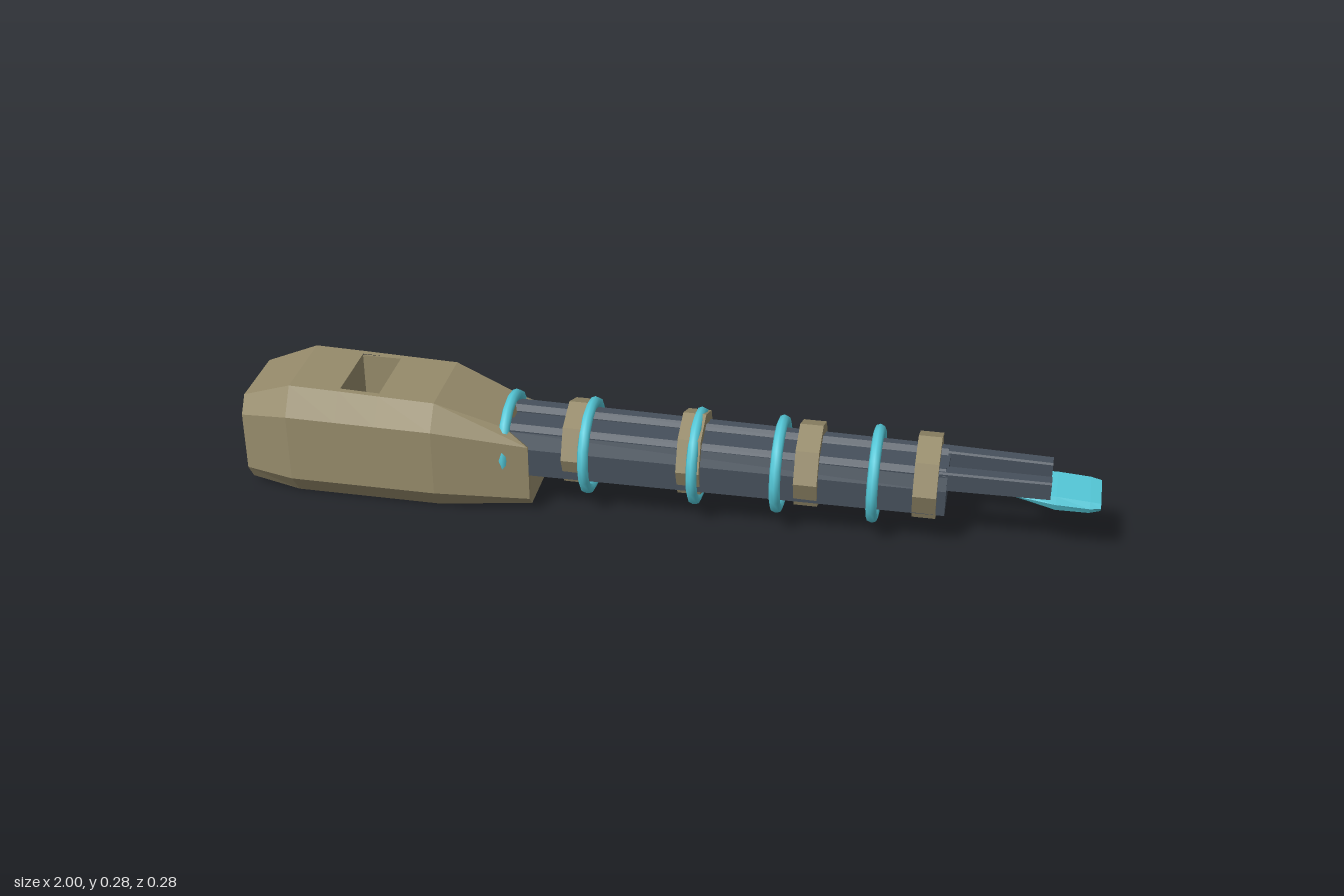
import * as THREE from 'three';

const mat = (name, color) => {
  const m = new THREE.MeshStandardMaterial({ color });
  m.name = name;
  return m;
};

// Joins rings of [x, y, z] points along x, with caps; skip(s, i) leaves a face open.
function loft(rings, skip = () => false) {
  const pos = [];
  const tri = (a, b, c) => pos.push(...a, ...b, ...c);
  const n = rings[0].length;
  for (let s = 0; s < rings.length - 1; s++) {
    for (let i = 0; i < n; i++) {
      if (skip(s, i)) continue;
      const j = (i + 1) % n, p = rings[s], q = rings[s + 1];
      tri(p[i], p[j], q[j]);
      tri(p[i], q[j], q[i]);
    }
  }
  const cap = (r, flip) => {
    const c = [0, 1, 2].map(k => r.reduce((sum, p) => sum + p[k], 0) / n);
    r.forEach((p, i) => {
      const q = r[(i + 1) % n];
      flip ? tri(c, q, p) : tri(c, p, q);
    });
  };
  cap(rings[0], true);
  cap(rings[rings.length - 1], false);
  const g = new THREE.BufferGeometry();
  g.setAttribute('position', new THREE.Float32BufferAttribute(pos, 3));
  g.computeVertexNormals();
  return g;
}

// Mirrors half a section, listed from top to bottom as [x, y, z].
const mirrorRing = half => [...half, ...half.slice().reverse().map(([x, y, z]) => [x, y, -z])];

export function createModel() {
  const model = new THREE.Group();
  const tan = mat('tan casing', 0x968b6b);
  const slate = mat('slate metal', 0x46505b);
  const cyan = mat('cyan glow', 0x55c9d9);
  const black = mat('black recess', 0x0c0c0c);

  const add = (name, geometry, material, x = 0, y = 0, z = 0) => {
    const mesh = new THREE.Mesh(geometry, material);
    mesh.name = name;
    mesh.position.set(x, y, z);
    model.add(mesh);
    return mesh;
  };
  const box = (name, material, x0, x1, y0, y1, z0, z1) => add(name,
    new THREE.BoxGeometry(x1 - x0, y1 - y0, z1 - z0), material,
    (x0 + x1) / 2, (y0 + y1) / 2, (z0 + z1) / 2);

  // Handle: chamfered casing with a slanted upper front and a slot on top
  const handleRing = (x, top, upper, lower, bottom, w, flat, topX = x) => mirrorRing([
    [topX, top, flat * 0.86], [topX, top, flat],
    [x, upper, w], [x, lower, w], [x, bottom, flat]
  ]);
  add('handle', loft([
    handleRing(-1, 0.24, 0.2, 0.055, 0.015, 0.112, 0.085),
    handleRing(-0.88, 0.285, 0.222, 0.055, 0, 0.142, 0.1),
    handleRing(-0.76, 0.282, 0.221, 0.055, 0, 0.142, 0.1),
    handleRing(-0.665, 0.279, 0.22, 0.055, 0, 0.142, 0.1),
    handleRing(-0.53, 0.275, 0.219, 0.055, 0, 0.142, 0.1),
    handleRing(-0.31, 0.215, 0.18, 0.04, 0.015, 0.1, 0.078, -0.37)
  ], (s, i) => s === 2 && i === 9), tan);

  // Slot walls and dark floor
  const zs = 0.086, floor = 0.15;
  box('slotRearWall', tan, -0.764, -0.76, floor, 0.281, -zs, zs);
  box('slotFrontWall', tan, -0.665, -0.661, floor, 0.278, -zs, zs);
  for (const s of [-1, 1]) {
    const m = box('slotSideWall', tan, -0.76, -0.665, floor, 0.278, zs, zs + 0.004);
    m.position.z *= s;
  }
  box('slotFloor', black, -0.76, -0.665, floor - 0.005, floor, -zs, zs);

  // Barrel: tapered body with two raised rails
  const barrelRing = (x, w, top) => mirrorRing([
    [x, top, w * 0.82], [x, top - 0.035, w], [x, 0.097, w], [x, 0.09, w * 0.85]
  ]);
  add('barrel', loft([barrelRing(-0.37, 0.088, 0.202), barrelRing(0.655, 0.078, 0.196)]), slate);

  const railRing = (x, z0, z1, y0, y1, c) => [
    [x, y1, z0 + c], [x, y1, z1 - c], [x, y1 - c, z1],
    [x, y0, z1], [x, y0, z0], [x, y1 - c, z0]
  ];
  for (const side of [-1, 1]) {
    const span = (a, b) => side > 0 ? [a, b] : [-b, -a];
    add('rail', loft([
      railRing(-0.37, ...span(0.02, 0.07), 0.16, 0.217, 0.012),
      railRing(0.65, ...span(0.024, 0.066), 0.16, 0.207, 0.012)
    ]), slate);
    // Prongs holding the tip
    add('prong', loft([
      railRing(0.63, ...span(0.03, 0.066), 0.157, 0.203, 0.004),
      railRing(0.887, ...span(0.026, 0.06), 0.157, 0.2, 0.004)
    ]), slate);
  }

  // Octagonal collars around the barrel
  const octagon = r => Array.from({ length: 8 }, (_, i) =>
    new THREE.Vector2(Math.sin(i * Math.PI / 4) * r, Math.cos(i * Math.PI / 4) * r));
  const collarShape = new THREE.Shape(octagon(0.102));
  collarShape.holes.push(new THREE.Path(octagon(0.076).reverse()));
  const collarGeo = new THREE.ExtrudeGeometry(collarShape, { depth: 0.054, bevelEnabled: false });
  collarGeo.translate(0, 0, -0.027).rotateY(Math.PI / 2);
  for (const x of [-0.205, 0.065, 0.337, 0.608]) add('collar', collarGeo, tan, x, 0.155);

  // Glowing rings
  const ringGeo = new THREE.TorusGeometry(0.103, 0.013, 8, 16).rotateY(Math.PI / 2);
  for (const x of [-0.37, -0.18, 0.075, 0.268, 0.49]) add('glowRing', ringGeo, cyan, x, 0.144);

  // Glowing tip: thin wedge, deepest near its middle
  const tipRing = (x, top, bottom, w) => mirrorRing([
    [x, top, w * 0.88], [x, (top + bottom) / 2, w], [x, bottom, w * 0.88]
  ]);
  add('tip', loft([
    tipRing(0.81, 0.163, 0.15, 0.058),
    tipRing(0.9, 0.164, 0.129, 0.062),
    tipRing(0.975, 0.159, 0.13, 0.062),
    tipRing(1, 0.155, 0.136, 0.058)
  ]), cyan);

  return model;
}
